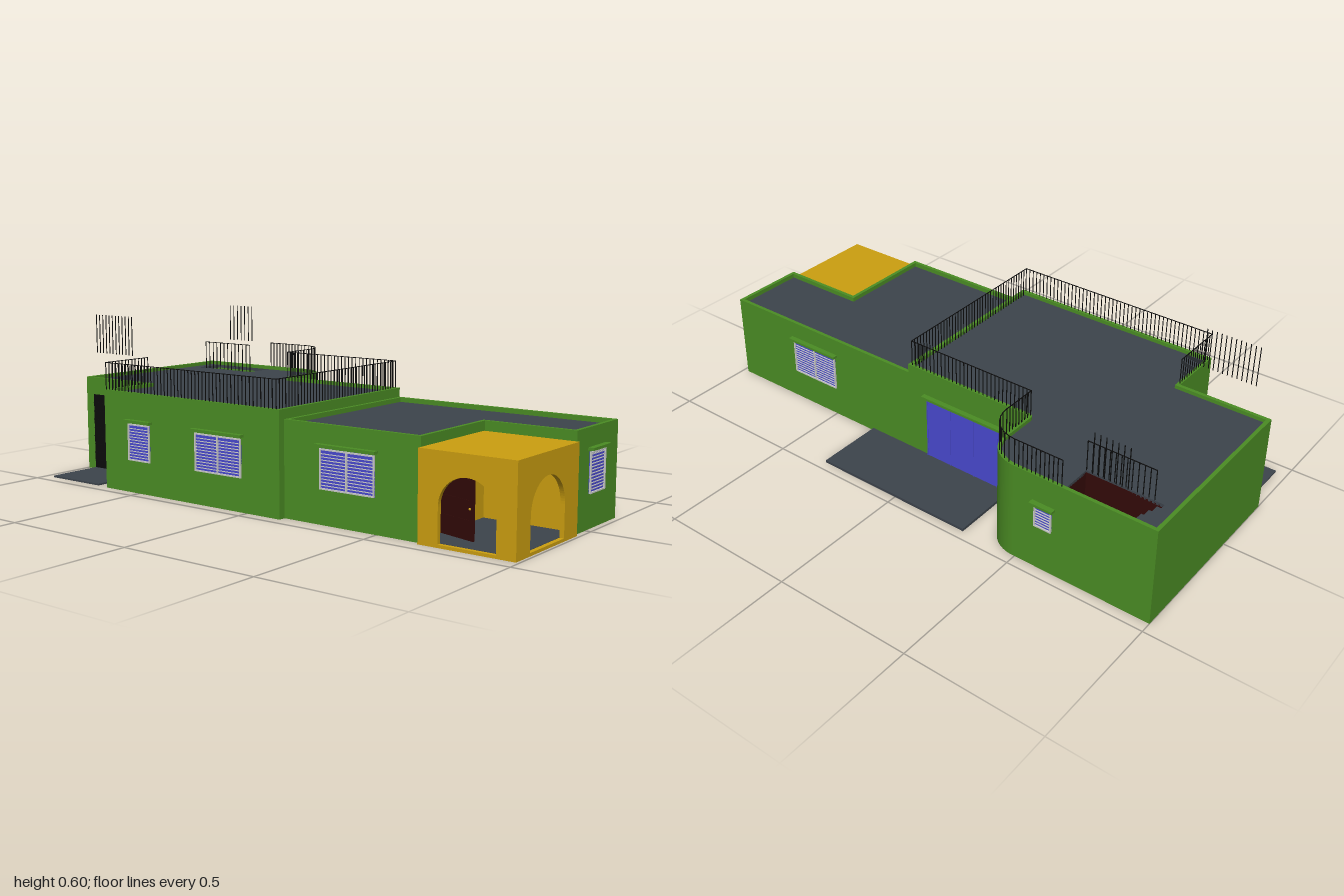
import * as THREE from 'three';
import { mergeGeometries } from 'three/addons/utils/BufferGeometryUtils.js';

const mat = (color) => new THREE.MeshStandardMaterial({ color, side: THREE.DoubleSide });
const M = {
  green: mat(0x4b8d24), yellow: mat(0xcc9f10), slate: mat(0x3d444c), blue: mat(0x4a4ad0),
  black: mat(0x0c0c0c), red: mat(0x330a08), white: mat(0xcccccc),
};

function add(parent, name, geometry, material) {
  const mesh = new THREE.Mesh(geometry, material);
  mesh.name = name;
  parent.add(mesh);
  return mesh;
}

// Box geometry given by its limits on each axis
function span(x0, x1, y0, y1, z0, z1) {
  return new THREE.BoxGeometry(x1 - x0, y1 - y0, z1 - z0)
    .translate((x0 + x1) / 2, (y0 + y1) / 2, (z0 + z1) / 2);
}

// Plan outline (drawn with -z up the page) raised from y0 to y1
function raise(shape, y0, y1) {
  return new THREE.ExtrudeGeometry(shape, { depth: y1 - y0, bevelEnabled: false, curveSegments: 16 })
    .rotateX(-Math.PI / 2).translate(0, y0, 0);
}

// Footprint of the tall wing, inset by t
function tallPlan(t) {
  const s = new THREE.Shape();
  s.moveTo(-1 + t, -0.245 + t);
  s.lineTo(-0.665 + t, -0.245 + t);
  s.lineTo(-0.665 + t, -0.46 + t);
  s.lineTo(0.14 - t, -0.46 + t);
  s.lineTo(0.14 - t, 0.215 - t);
  s.lineTo(-0.35 - t, 0.215 - t);
  s.quadraticCurveTo(-0.37 - t, 0.215 - t, -0.37 - t, 0.235 - t);
  s.lineTo(-0.37 - t, 0.34);
  s.absarc(-0.49, 0.34, 0.12 - t, 0, Math.PI / 2, false);
  s.lineTo(-1 + t, 0.46 - t);
  s.closePath();
  return s;
}

// Footprint of the low wing, inset by t
function lowPlan(t) {
  return new THREE.Shape([
    [0.14 + t, -0.435 + t], [0.66 - t, -0.435 + t], [0.66 - t, -0.07 + t],
    [0.98 - t, -0.07 + t], [0.98 - t, 0.215 - t], [0.14 + t, 0.215 - t],
  ].map(([x, y]) => new THREE.Vector2(x, y)));
}

function wing(name, plan, height, roofY, stairHole) {
  const g = new THREE.Group();
  g.name = name;
  const walls = plan(0);
  walls.holes.push(plan(0.013));
  add(g, 'walls', raise(walls, 0, height), M.green);
  add(g, 'floor', raise(plan(0.002), 0, 0.008), M.green);
  const roof = plan(0.01);
  if (stairHole) roof.holes.push(stairHole);
  add(g, 'roof', raise(roof, roofY - 0.012, roofY), M.slate);
  return g;
}

// Window facing +z before it is turned; blinds, frame, glass and lintel
function windowUnit(name, width, y0, y1, x, z, turn, panes = 1) {
  const g = new THREE.Group();
  g.name = name;
  const h = width / 2, b = 0.005;
  add(g, 'glass', span(-h, h, y0, y1, -0.004, 0.001), M.blue);
  const parts = [
    span(-h, h, y0, y0 + b, 0, 0.006), span(-h, h, y1 - b, y1, 0, 0.006),
  ];
  for (let i = 0; i <= panes; i++) {
    const px = -h + b / 2 + (width - b) * i / panes;
    parts.push(span(px - b / 2, px + b / 2, y0, y1, 0, 0.006));
  }
  add(g, 'frame', mergeGeometries(parts), M.white);
  const slats = [];
  for (let y = y0 + 0.012; y < y1 - 0.008; y += 0.01) slats.push(span(-h, h, y, y + 0.0025, 0, 0.004));
  add(g, 'blinds', mergeGeometries(slats), M.white);
  add(g, 'lintel', span(-h - 0.01, h + 0.01, y1 + 0.006, y1 + 0.015, -0.005, 0.019), M.green);
  g.position.set(x, 0, z);
  g.rotation.y = turn;
  return g;
}

// Row of thin bars along a plan path of [x, z] points, with an optional handrail
function railing(name, points, y0, y1, step, handrail = true) {
  const t = 0.0024, parts = [];
  for (let i = 0; i + 1 < points.length; i++) {
    const [ax, az] = points[i], [bx, bz] = points[i + 1];
    const len = Math.hypot(bx - ax, bz - az), n = Math.max(1, Math.round(len / step));
    for (let k = 0; k <= n; k++) {
      const x = ax + (bx - ax) * k / n, z = az + (bz - az) * k / n;
      parts.push(span(x - t / 2, x + t / 2, y0, y1, z - t / 2, z + t / 2));
    }
    if (handrail) {
      parts.push(new THREE.BoxGeometry(len, t, t).rotateY(-Math.atan2(bz - az, bx - ax))
        .translate((ax + bx) / 2, y1 - t / 2, (az + bz) / 2));
    }
  }
  const mesh = new THREE.Mesh(mergeGeometries(parts), M.black);
  mesh.name = name;
  return mesh;
}

// Wall panel w wide with an arched opening from a to b
function archWall(w, height, a, b, top, thick) {
  const s = new THREE.Shape();
  s.moveTo(0, 0); s.lineTo(w, 0); s.lineTo(w, height); s.lineTo(0, height); s.closePath();
  const r = (b - a) / 2, hole = new THREE.Path();
  hole.moveTo(a, 0.01);
  hole.lineTo(b, 0.01);
  hole.lineTo(b, top - r);
  hole.absarc((a + b) / 2, top - r, r, 0, Math.PI, false);
  hole.closePath();
  s.holes.push(hole);
  return new THREE.ExtrudeGeometry(s, { depth: thick, bevelEnabled: false, curveSegments: 20 });
}

function porch() {
  const g = new THREE.Group();
  g.name = 'porch';
  add(g, 'frontArch', archWall(0.33, 0.29, 0.07, 0.265, 0.22, 0.015).translate(0.66, 0, 0.435), M.yellow);
  add(g, 'sideArch', archWall(0.375, 0.29, 0.08, 0.29, 0.22, 0.015)
    .rotateY(Math.PI / 2).translate(0.975, 0, 0.45), M.yellow);
  add(g, 'roof', span(0.66, 0.99, 0.278, 0.29, 0.075, 0.45), M.yellow);
  add(g, 'backWall', span(0.66, 0.98, 0, 0.285, 0.068, 0.078), M.yellow);
  add(g, 'innerWall', span(0.655, 0.665, 0, 0.285, 0.075, 0.44), M.yellow);
  add(g, 'base', span(0.66, 0.99, 0, 0.008, 0.075, 0.45), M.yellow);
  add(g, 'floor', span(0.665, 0.975, 0.006, 0.011, 0.078, 0.435), M.slate);
  add(g, 'doorway', span(0.66, 0.667, 0.011, 0.215, 0.195, 0.33), M.white);
  // Front door standing open
  const door = new THREE.Group();
  door.name = 'frontDoor';
  add(door, 'leaf', span(0, 0.14, 0.013, 0.212, -0.004, 0.004), M.red);
  for (const x of [0.018, 0.078])
    for (const y of [0.03, 0.09, 0.15])
      add(door, 'doorPanel', span(x, x + 0.045, y, y + 0.045, -0.006, 0.006), M.red);
  add(door, 'handle', new THREE.SphereGeometry(0.004, 10, 8).translate(0.13, 0.11, 0.008), M.yellow);
  door.position.set(0.668, 0, 0.33);
  door.rotation.y = -0.27;
  g.add(door);
  return g;
}

// Flight going down from the roof towards +x
function stairs() {
  const g = new THREE.Group();
  g.name = 'stairs';
  const n = 11, x0 = -0.945, run = 0.275 / n;
  for (let i = 0; i < n; i++) {
    const y = 0.325 - i * 0.026;
    add(g, 'step', span(x0 + i * run, x0 + (i + 1) * run, y - 0.03, y, -0.447, -0.33), M.slate);
  }
  add(g, 'stairEndWall', span(-0.67, -0.664, 0.01, 0.335, -0.447, -0.33), M.red);
  add(g, 'stairSideWall', span(-0.945, -0.664, 0.01, 0.335, -0.33, -0.324), M.red);
  return g;
}

export function createModel() {
  const house = new THREE.Group();
  house.name = 'house';
  const hole = new THREE.Path([[-0.945, 0.33], [-0.67, 0.33], [-0.67, 0.446], [-0.945, 0.446]]
    .map(([x, y]) => new THREE.Vector2(x, y)));
  house.add(wing('tallWing', tallPlan, 0.355, 0.342, hole));
  house.add(wing('lowWing', lowPlan, 0.322, 0.306));
  house.add(porch(), stairs());

  // Windows
  const back = Math.PI;
  house.add(
    windowUnit('frontWindowSmall', 0.105, 0.115, 0.245, -0.4925, 0.46, 0),
    windowUnit('frontWindowWide', 0.205, 0.115, 0.245, -0.1225, 0.46, 0, 2),
    windowUnit('frontWindowLow', 0.21, 0.115, 0.245, 0.39, 0.435, 0, 2),
    windowUnit('sideWindow', 0.105, 0.113, 0.245, 0.981, -0.068, Math.PI / 2),
    windowUnit('backWindowWide', 0.205, 0.115, 0.245, 0.595, -0.215, back, 2),
    windowUnit('backWindowSmall', 0.065, 0.165, 0.245, -0.605, -0.46, back),
  );

  // Sliding glass door at the back
  const slider = new THREE.Group();
  slider.name = 'slidingDoor';
  add(slider, 'glass', span(-0.25, 0.055, 0.01, 0.245, -0.219, -0.212), M.blue);
  for (let i = 0; i <= 3; i++) {
    const x = -0.25 + i * 0.305 / 3;
    add(slider, 'frame', span(x - 0.002, x + 0.002, 0.01, 0.245, -0.221, -0.212), M.blue);
  }
  add(slider, 'lintel', span(-0.265, 0.07, 0.251, 0.26, -0.234, -0.21), M.green);
  house.add(slider);

  // Garage door with ribs
  const garage = new THREE.Group();
  garage.name = 'garageDoor';
  add(garage, 'leaf', span(-0.96, -0.71, 0.005, 0.29, 0.24, 0.247), M.black);
  for (let i = 1; i < 9; i++)
    add(garage, 'rib', span(-0.96, -0.71, i * 0.032, i * 0.032 + 0.003, 0.245, 0.249), M.black);
  house.add(garage);

  // Paving
  add(house, 'driveway', span(-0.96, -0.715, 0, 0.006, 0.245, 0.455), M.slate);
  add(house, 'patio', span(-0.295, 0.32, 0, 0.01, -0.465, -0.215), M.slate);

  // Roof terrace railings
  const curve = [];
  for (let i = 0; i <= 8; i++) {
    const a = i / 8 * Math.PI / 2;
    curve.push([-0.49 + 0.115 * Math.cos(a), -0.34 - 0.115 * Math.sin(a)]);
  }
  house.add(
    railing('terraceRailing', [[-0.66, 0.25], [-0.66, 0.455], [0.125, 0.455], [0.125, -0.21],
      [-0.375, -0.21], ...curve, [-0.665, -0.455]], 0.342, 0.452, 0.016),
    railing('stairRailing', [[-0.91, -0.328], [-0.67, -0.328]], 0.342, 0.452, 0.02),
    railing('frontUpperBars', [[-0.93, 0.25], [-0.74, 0.25]], 0.452, 0.596, 0.017, false),
    railing('backUpperBars', [[-0.89, -0.457], [-0.77, -0.457]], 0.452, 0.596, 0.02, false),
  );
  return house;
}
